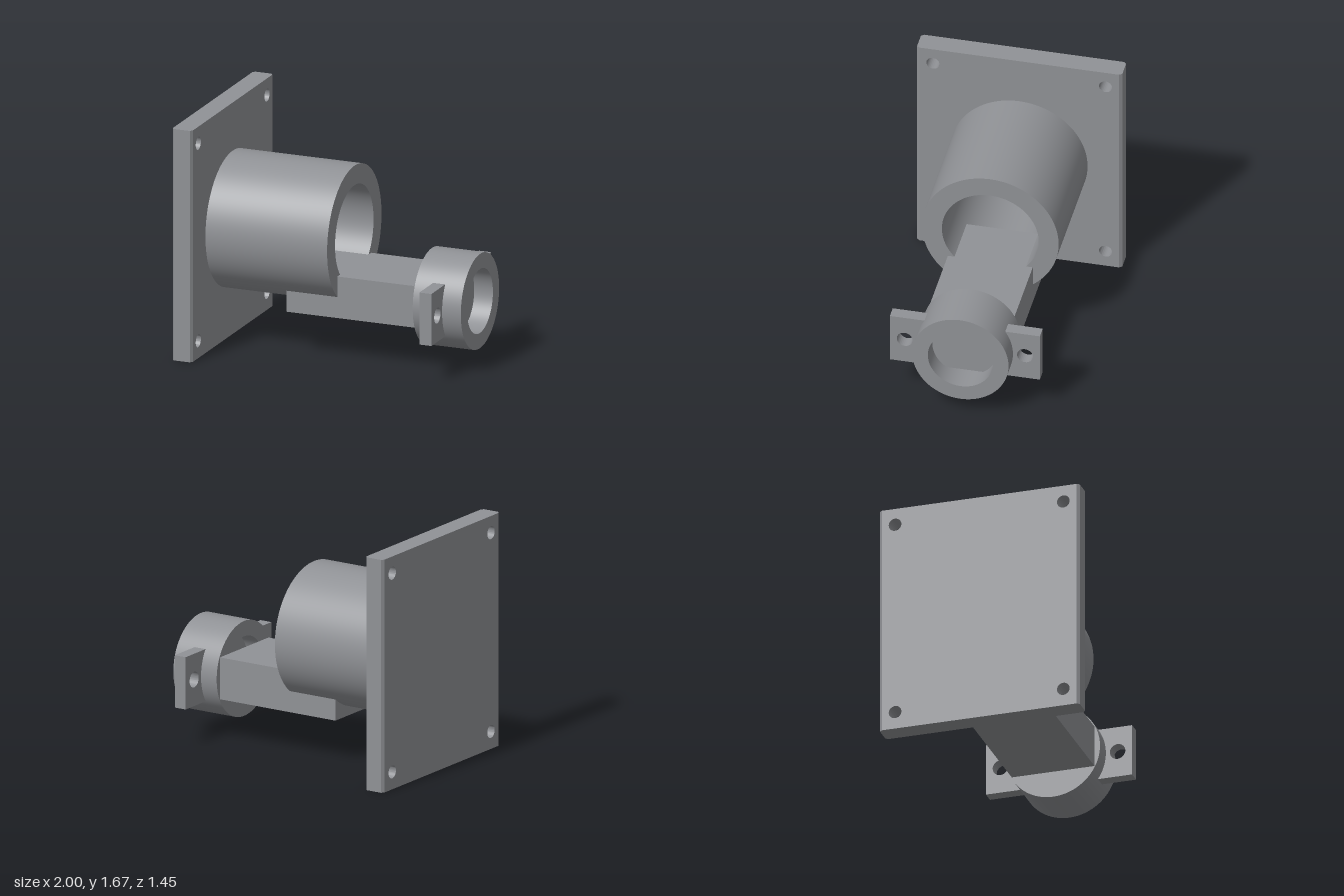
import * as THREE from 'three';
import { toCreasedNormals } from 'three/addons/utils/BufferGeometryUtils.js';

const grey = new THREE.MeshStandardMaterial({ color: 0x909296 });
grey.name = 'grey';

// Circle outline, used both as an outer edge and as a hole
function circle(Kind, x, y, r) {
  return new Kind().absarc(x, y, r, 0, Math.PI * 2, false);
}

function rectangle(x0, y0, x1, y1) {
  return new THREE.Shape([[x0, y0], [x1, y0], [x1, y1], [x0, y1]].map(p => new THREE.Vector2(...p)));
}

// Extrudes a (z, y) outline along x between two positions
function along(name, shape, x0, x1) {
  const raw = new THREE.ExtrudeGeometry(shape, { depth: x1 - x0, bevelEnabled: false, curveSegments: 48 });
  raw.rotateY(Math.PI / 2).translate(x0, 0, 0);
  const mesh = new THREE.Mesh(toCreasedNormals(raw, 0.6), grey);
  mesh.name = name;
  return mesh;
}

function tube(name, y, outer, inner, x0, x1) {
  const shape = circle(THREE.Shape, 0, y, outer);
  shape.holes.push(circle(THREE.Path, 0, y, inner));
  return along(name, shape, x0, x1);
}

export function createModel() {
  const model = new THREE.Group();
  model.name = 'wallBracket';

  // Wall plate with four screw holes
  const H = 1.67;
  const plate = rectangle(-0.705, 0, 0.705, H);
  for (const z of [-0.61, 0.61]) {
    for (const y of [0.125, 1.55]) plate.holes.push(circle(THREE.Path, z, y, 0.046));
  }
  model.add(along('wallPlate', plate, -1, -0.85));

  // Chamfered strips down both sides of the plate
  const edge = new THREE.Shape([[-1, 0.705], [-0.85, 0.705], [-0.865, 0.725], [-0.985, 0.725]]
    .map(p => new THREE.Vector2(...p)));
  for (const side of [0, 1]) {
    const geo = new THREE.ExtrudeGeometry(edge, { depth: H, bevelEnabled: false });
    geo.rotateX(-Math.PI / 2);
    if (side) geo.translate(0.925, 0, 0).rotateY(Math.PI).translate(-0.925, 0, 0);
    const mesh = new THREE.Mesh(geo, grey);
    mesh.name = side ? 'plateEdgeLeft' : 'plateEdgeRight';
    model.add(mesh);
  }

  // Large socket, closed by the plate behind it
  model.add(tube('largeSocket', 0.84, 0.483, 0.342, -0.85, 0.06));

  // Arm running under the socket to the collar
  model.add(along('arm', rectangle(-0.3, 0.31, 0.3, 0.61), -0.32, 0.64));

  // Small collar
  model.add(tube('collar', 0.46, 0.34, 0.23, 0.64, 1));

  // Cross plate through the collar, with a screw hole in each ear
  const ears = rectangle(-0.53, 0.27, 0.53, 0.645);
  for (const z of [-0.425, 0.425]) ears.holes.push(circle(THREE.Path, z, 0.46, 0.056));
  model.add(along('screwEars', ears, 0.77, 0.86));

  return model;
}
